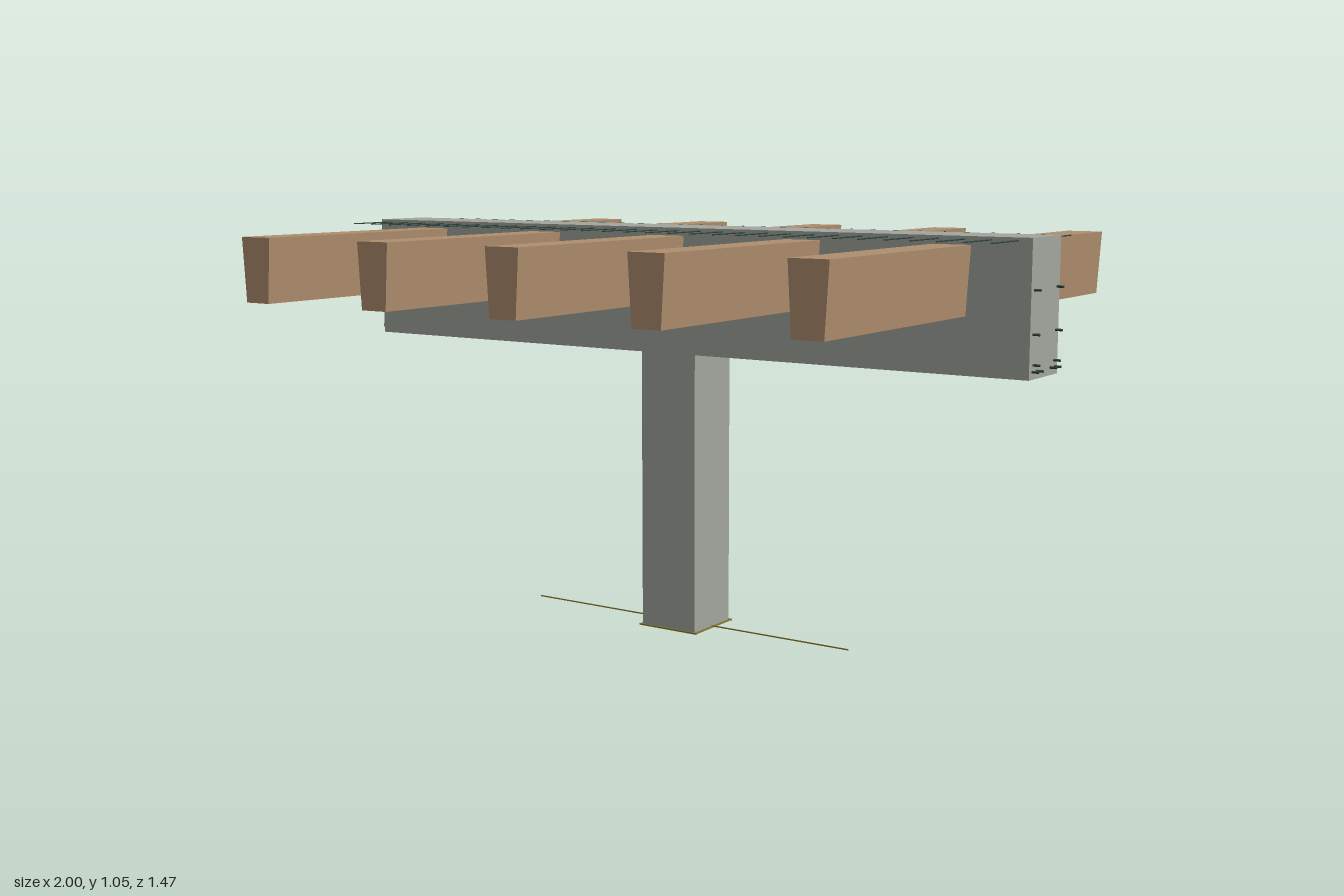
import * as THREE from 'three';

const material = (color) => new THREE.MeshStandardMaterial({ color });

export function createModel() {
  const model = new THREE.Group();
  const concrete = material(0xa4a79e);
  const timber = material(0xb08f6e);
  const steel = material(0x2f4a40);
  const brass = material(0x8a7a30);

  function add(name, geometry, mat, x = 0, y = 0, z = 0) {
    const mesh = new THREE.Mesh(geometry, mat);
    mesh.name = name;
    mesh.position.set(x, y, z);
    model.add(mesh);
    return mesh;
  }

  // T-shaped pier: column and crossbeam in one solid outline
  const half = 0.983, column = 0.082, depth = 0.164;
  const outline = new THREE.Shape([
    [-column, 0.002], [column, 0.002], [column, 0.727], [half, 0.727],
    [half, 1.047], [-half, 1.047], [-half, 0.727], [-column, 0.727],
  ].map(([x, y]) => new THREE.Vector2(x, y)));
  add('pier', new THREE.ExtrudeGeometry(outline, { depth, bevelEnabled: false }),
    concrete, 0, 0, -depth / 2);

  // Tapered joists running through the crossbeam
  const section = new THREE.Shape([
    [-0.038, 0.864], [0.038, 0.864], [0.048, 1.027], [-0.048, 1.027],
  ].map(([x, y]) => new THREE.Vector2(x, y)));
  const joist = new THREE.ExtrudeGeometry(section, { depth: 1.474, bevelEnabled: false });
  for (let i = -2; i <= 2; i++) add('joist', joist, timber, i * 0.393, 0, -0.737);

  // Thin cross bars just under the top of the beam
  const crossBar = new THREE.CylinderGeometry(0.0015, 0.0015, 0.456, 6).rotateX(Math.PI / 2);
  for (let i = 0; i < 30; i++) add('crossBar', crossBar, steel, -0.948 + i * 0.0654, 1.04, 0);

  // Lengthwise reinforcing bars with their tips showing at the beam ends
  const longBar = new THREE.CylinderGeometry(0.003, 0.003, 2, 8).rotateZ(Math.PI / 2);
  for (const side of [-1, 1]) {
    for (const [y, z] of [[0.745, 0.065], [0.745, 0.04], [0.76, 0.06], [0.83, 0.066], [0.93, 0.066]]) {
      add('longBar', longBar, steel, 0, y, side * z);
    }
  }

  // Ground bar and the wire loop around the foot of the column
  add('groundBar', new THREE.BoxGeometry(0.98, 0.003, 0.003), brass, 0, 0.0035, 0);
  for (const side of [-1, 1]) {
    add('footLoopLong', new THREE.BoxGeometry(0.18, 0.004, 0.004), brass, 0, 0.002, side * 0.085);
    add('footLoopShort', new THREE.BoxGeometry(0.004, 0.004, 0.17), brass, side * 0.086, 0.002, 0);
  }

  return model;
}
